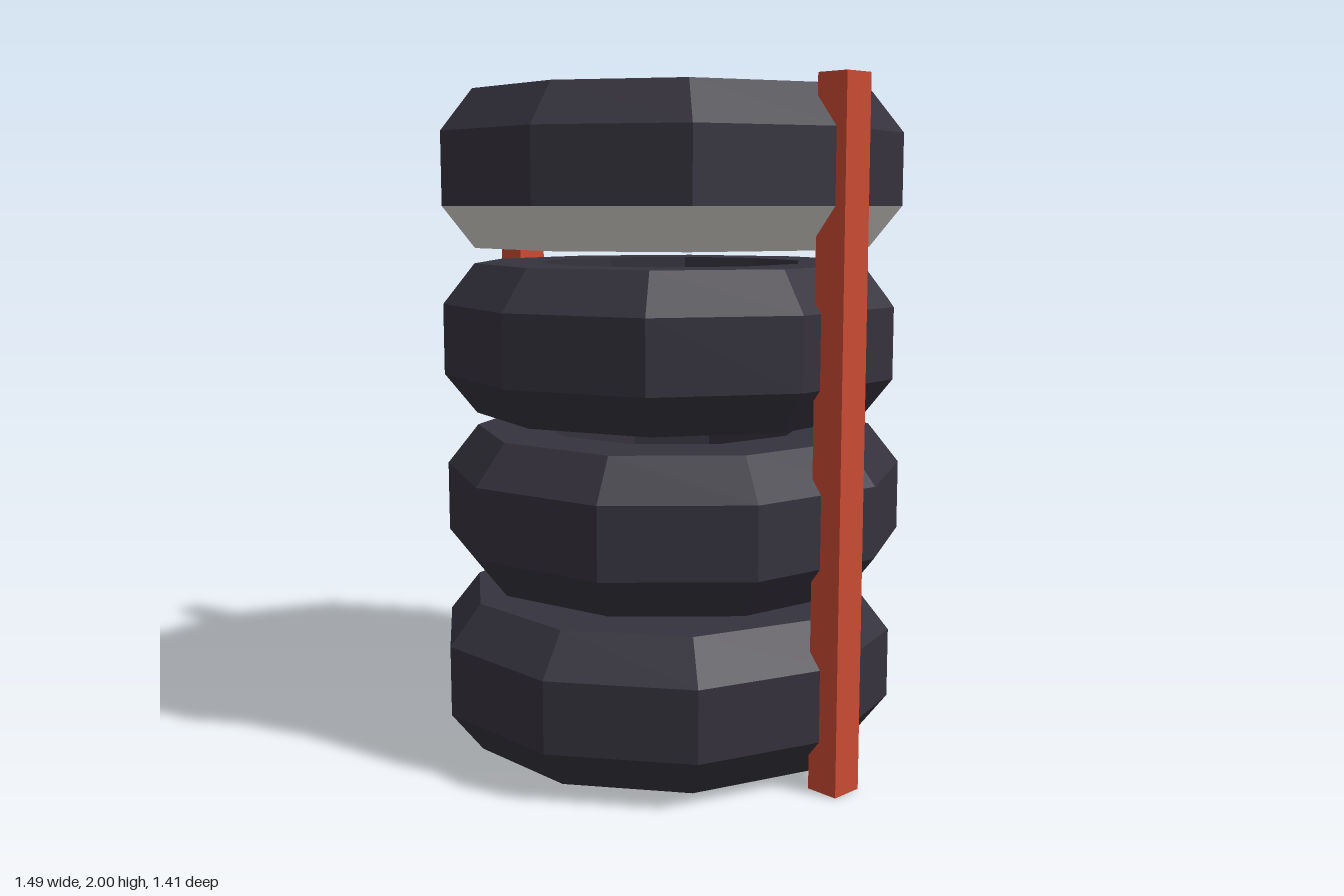
import * as THREE from 'three';

const rubber = new THREE.MeshStandardMaterial({ color: 0x35323d, flatShading: true });
const pale = new THREE.MeshStandardMaterial({ color: 0xd8d5ce, flatShading: true });
const red = new THREE.MeshStandardMaterial({ color: 0xca4b33, flatShading: true });

// Ring cross-section (radius, height), running counter-clockwise from the lower inner edge
const PROFILE = [[0.405, 0], [0.605, 0], [0.7, 0.12], [0.7, 0.33], [0.605, 0.45], [0.405, 0.45], [0.405, 0]]
  .map(([r, y]) => new THREE.Vector2(r, y));

function ringPart(name, points, material) {
  const mesh = new THREE.Mesh(new THREE.LatheGeometry(points, 10), material);
  mesh.name = name;
  return mesh;
}

export function createModel() {
  const model = new THREE.Group();
  model.name = 'tireStack';

  // Four ten-sided tires, each slightly shifted and turned: x, z, turn in degrees
  const tires = [[0, 0.035, 18], [0.017, 0.01, -7], [-0.005, -0.006, 4.3], [0.02, 0.034, 15.3]];
  tires.forEach(([x, z, turn], i) => {
    const tire = new THREE.Group();
    tire.name = `tire${i + 1}`;
    if (i === 3) {
      // The top tire has a pale underside
      tire.add(ringPart('paleUnderside', PROFILE.slice(0, 3), pale));
      tire.add(ringPart('tireBody', PROFILE.slice(2), rubber));
    } else {
      tire.add(ringPart('tireBody', PROFILE, rubber));
    }
    tire.position.set(x, 0.027 + i * 0.5, z);
    tire.rotation.y = THREE.MathUtils.degToRad(turn);
    model.add(tire);
  });

  // Upright posts on both sides
  for (const side of [-1, 1]) {
    const post = new THREE.Mesh(new THREE.BoxGeometry(0.1, 2, 0.1), red);
    post.name = side > 0 ? 'leftPost' : 'rightPost';
    post.position.set(side * 0.697, 1, 0.033);
    model.add(post);
  }
  return model;
}
